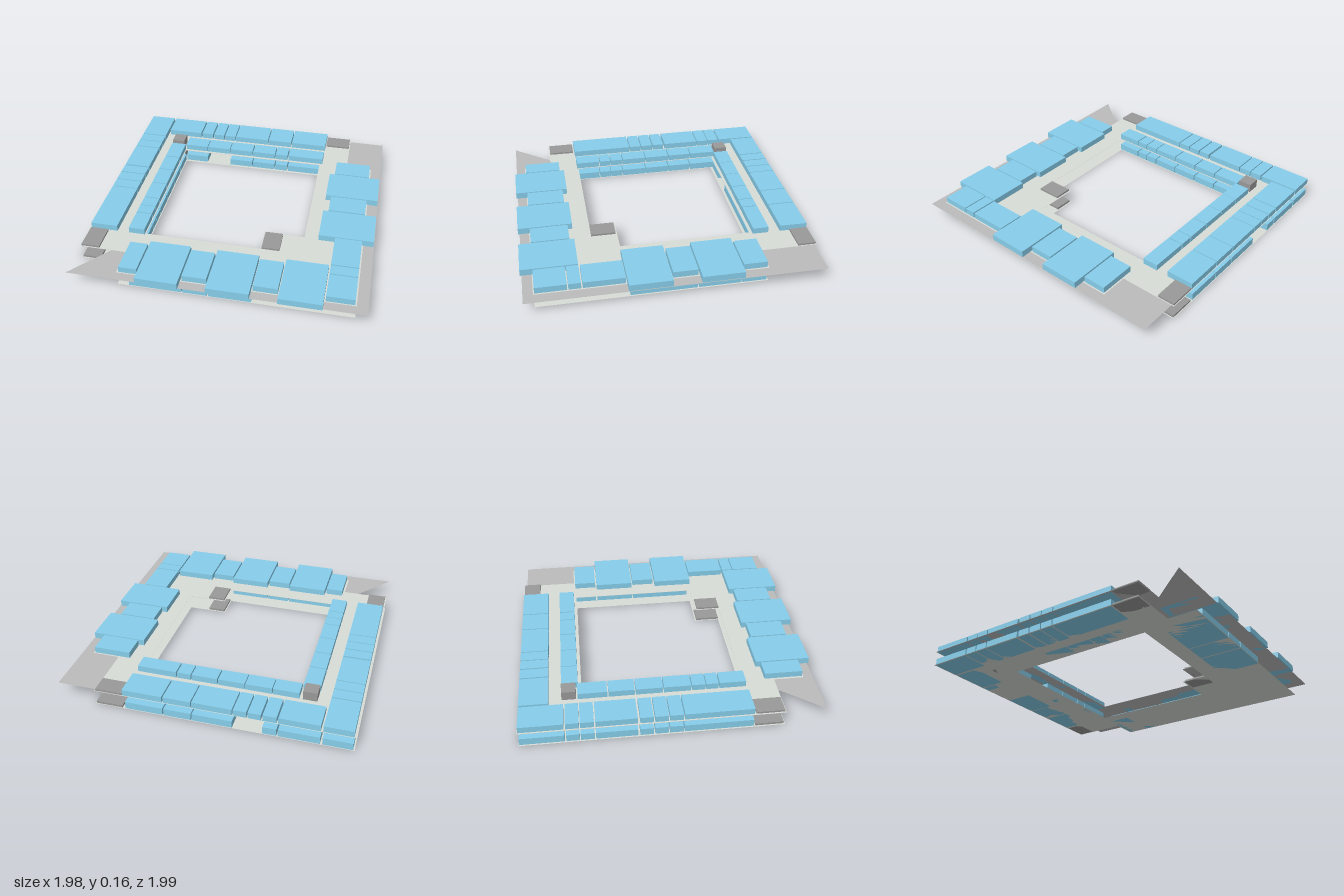
import * as THREE from 'three';

const mat = (color) => new THREE.MeshStandardMaterial({ color, side: THREE.DoubleSide, flatShading: true });

export function createModel() {
  const model = new THREE.Group();
  const blue = mat(0x87ceeb), dark = mat(0x999999), grey = mat(0xbbbbbb), pale = mat(0xd8ddd6);

  // box from plan limits x0..x1, z0..z1, standing on y
  const box = (parent, name, x0, x1, z0, z1, y, h, material) => {
    const m = new THREE.Mesh(new THREE.BoxGeometry(x1 - x0, h, z1 - z0), material);
    m.position.set((x0 + x1) / 2, y + h / 2, (z0 + z1) / 2);
    m.name = name;
    parent.add(m);
  };
  // flat floor from an x,z outline, with the courtyard cut out
  const courtyard = [[-0.585, -0.585], [0.505, -0.585], [0.505, 0.32], [0.225, 0.32], [0.225, 0.5], [-0.585, 0.5]];
  const path = (pts) => pts.map(([x, z]) => new THREE.Vector2(x, -z));
  const floor = (parent, name, outline, y, material) => {
    const s = new THREE.Shape(path(outline));
    s.holes.push(new THREE.Path(path(courtyard)));
    const m = new THREE.Mesh(new THREE.ShapeGeometry(s).rotateX(-Math.PI / 2), material);
    m.position.y = y;
    m.name = name;
    parent.add(m);
  };

  const lowerOutline = [[-0.99, -0.995], [0.72, -0.995], [0.72, -0.6], [0.91, -0.6], [0.91, 0.92],
    [-0.66, 0.92], [-0.66, 0.715], [-0.99, 0.715]];
  const upperOutline = [[-0.99, -0.975], [0.985, -0.975], [0.985, 0.985], [-0.985, 0.985],
    [-0.765, 0.715], [-0.99, 0.715]];

  // room runs as [start, end] along each wing
  const backOuter = [[-0.775, -0.51], [-0.5, -0.41], [-0.4, -0.315], [-0.307, -0.22], [-0.213, 0.053], [0.06, 0.245], [0.253, 0.525]];
  const backInner = [[-0.585, -0.41], [-0.405, -0.225], [-0.22, -0.04], [-0.033, 0.143], [0.15, 0.245], [0.253, 0.525]];
  const leftOuter = [[-0.99, -0.705], [-0.695, -0.61], [-0.603, -0.515], [-0.507, -0.24], [-0.225, -0.14], [-0.13, -0.043], [-0.035, 0.052], [0.06, 0.51]];
  const leftInner = [[-0.61, -0.415], [-0.407, -0.235], [-0.227, -0.047], [-0.04, 0.14], [0.147, 0.237], [0.243, 0.325], [0.333, 0.51]];

  const storey = (name, y, upper) => {
    const g = new THREE.Group();
    g.name = name;
    const h = upper ? 0.045 : 0.05;
    const room = (x0, x1, z0, z1) => box(g, 'room', x0, x1, z0, z1, y, h, blue);
    const end = (x) => (upper ? x : Math.min(x, 0.51));
    const passage = ([a, b]) => !upper && a > -0.41 && b < -0.21; // entrance gap below

    // back and left wings, two rows each
    backOuter.filter((r) => !passage(r)).forEach(([a, b]) => room(a, end(b), -0.99, -0.8));
    backInner.filter((r) => !passage(r)).forEach(([a, b]) => room(a, upper ? b : Math.min(b === -0.225 ? -0.39 : b, 0.51), -0.715, -0.605));
    leftOuter.forEach(([a, b]) => room(-0.98, -0.79, a, b));
    leftInner.forEach(([a, b]) => room(-0.705, -0.592, a, b));

    if (upper) {
      // front wing, alternating shallow and deep rooms
      [[-0.645, -0.52, 0], [-0.51, -0.227, 1], [-0.217, -0.053, 0], [-0.043, 0.24, 1], [0.25, 0.412, 0], [0.422, 0.705, 1]]
        .forEach(([a, b, deep]) => room(a, b, deep ? 0.62 : 0.652, deep ? 0.995 : 0.912));
      // right wing, alternating narrow and wide rooms
      [[-0.59, -0.43, 0], [-0.42, -0.14, 1], [-0.13, 0.035, 0], [0.047, 0.33, 1]]
        .forEach(([a, b, wide]) => room(wide ? 0.602 : 0.64, wide ? 0.98 : 0.9, a, b));
      [[0.338, 0.61], [0.62, 0.7], [0.708, 0.912]].forEach(([a, b]) => room(0.715, 0.9, a, b));
    } else {
      [[-0.58, -0.225], [-0.217, -0.053], [-0.043, 0.24]].forEach(([a, b]) => room(a, b, 0.62, 0.915));
      [[-0.59, -0.43], [-0.42, -0.14], [-0.13, 0.31]].forEach(([a, b]) => room(0.602, 0.9, a, b));
    }

    // stair landings and corner shaft
    [[-0.98, -0.853, 0.52, 0.707], [0.53, 0.713, -0.99, -0.867], [0.233, 0.357, 0.33, 0.5]]
      .forEach(([a, b, c, d]) => box(g, 'stairLanding', a, b, c, d, y, 0.015, dark));
    box(g, 'cornerShaft', -0.703, -0.608, -0.715, -0.62, y, upper ? 0.065 : 0.05, dark);
    model.add(g);
    return g;
  };

  const lower = storey('lowerStorey', 0, false);
  floor(lower, 'lowerFloor', lowerOutline, 0, pale);
  const upper = storey('upperStorey', 0.1, true);
  floor(upper, 'upperFloor', upperOutline, 0.1, grey);
  floor(upper, 'upperPaving', lowerOutline, 0.102, pale);
  return model;
}
